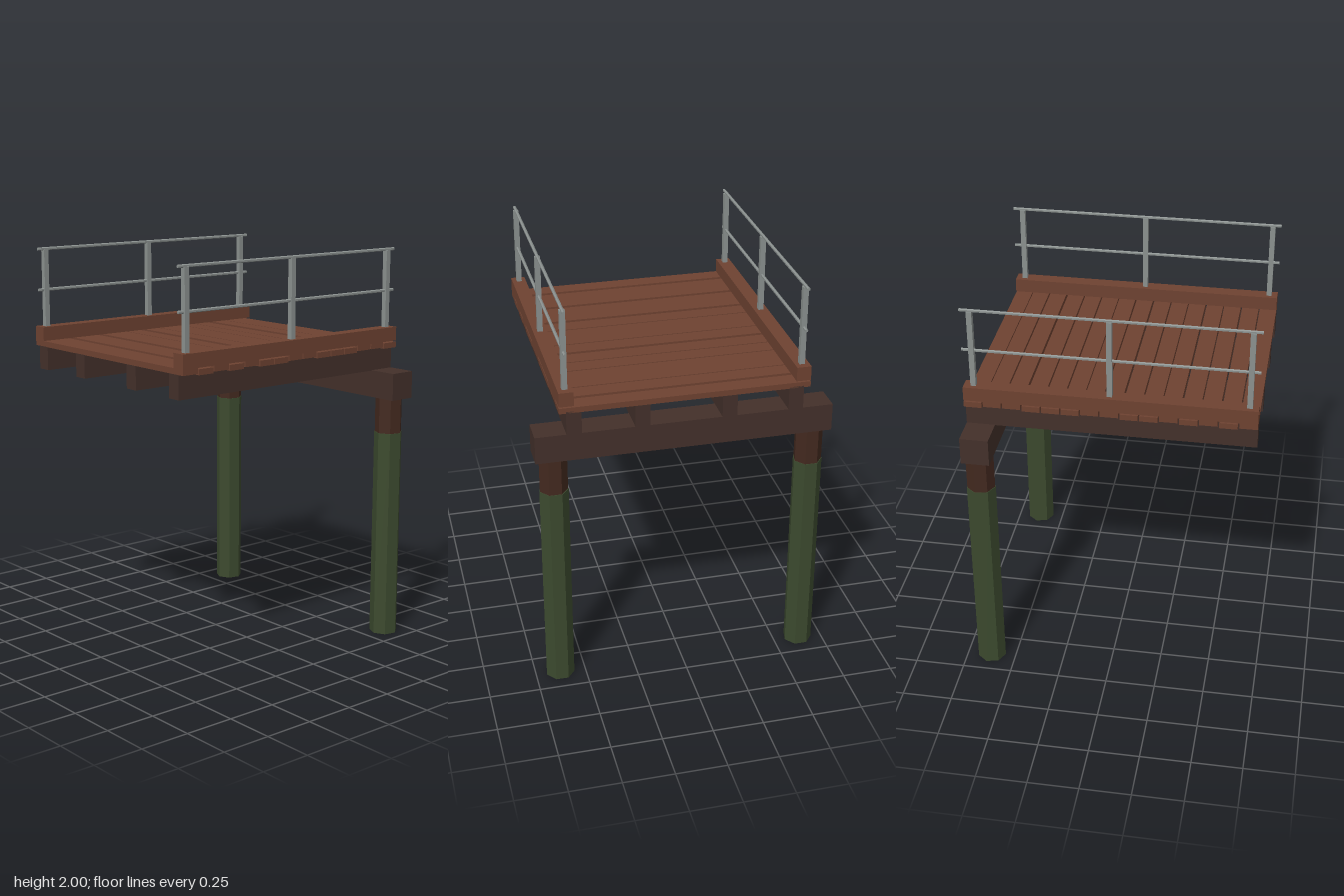
import * as THREE from 'three';

const material = (color) => new THREE.MeshStandardMaterial({ color, flatShading: true });

export function createModel() {
  const model = new THREE.Group();
  model.name = 'pierSection';

  const deckWood = material(0x6e4231);
  const darkWood = material(0x43302a);
  const pileWood = material(0x43291f);
  const algae = material(0x3c4a2e);
  const steel = material(0x8a908e);

  const add = (name, geometry, mat, x, y, z) => {
    const mesh = new THREE.Mesh(geometry, mat);
    mesh.name = name;
    mesh.position.set(x, y, z);
    model.add(mesh);
    return mesh;
  };
  // Box given by its x, y and z extents
  const box = (name, mat, [x0, x1], [y0, y1], [z0, z1]) =>
    add(name, new THREE.BoxGeometry(x1 - x0, y1 - y0, z1 - z0), mat,
      (x0 + x1) / 2, (y0 + y1) / 2, (z0 + z1) / 2);

  const depth = [-0.693, 0.695];

  // Deck planks, some set slightly lower than the others
  const plankCount = 15;
  const pitch = (depth[1] - depth[0] + 0.007) / plankCount;
  const lowPlanks = [1, 3, 5, 6, 9, 10, 11, 14];
  for (let i = 0; i < plankCount; i++) {
    const front = depth[1] - i * pitch;
    const drop = lowPlanks.includes(i) ? 0.007 : 0;
    box('deckPlank', deckWood, [-0.6, 0.6], [1.502 - drop, 1.53 - drop], [front - pitch + 0.007, front]);
  }

  // Stringers under the deck
  for (const x of [-0.532, -0.209, 0.209, 0.532]) {
    box('stringer', darkWood, [x - 0.036, x + 0.036], [1.385, 1.503], depth);
  }

  // Cross beam carried by the two piles
  box('crossBeam', darkWood, [-0.717, 0.717], [1.25, 1.387], [-0.693, -0.555]);

  for (const side of [-1, 1]) {
    // Seven-sided pile with an algae-covered lower part
    add('pileTop', new THREE.CylinderGeometry(0.069, 0.069, 0.2, 7), pileWood, side * 0.627, 1.155, -0.625);
    add('pileLower', new THREE.CylinderGeometry(0.072, 0.072, 1.07, 7), algae, side * 0.627, 0.535, -0.625);

    // Kerb along the deck edge
    const kerb = box('kerb', deckWood, [0.53, 0.6], [1.53, 1.6], depth);
    kerb.position.x *= side;

    // Railing posts and rails
    const railX = side * 0.565;
    for (const z of [-0.647, 0, 0.652]) {
      box('railingPost', steel, [railX - 0.013, railX + 0.013], [1.59, 1.988], [z - 0.013, z + 0.013]);
    }
    for (const y of [1.786, 1.992]) {
      const rail = add('rail', new THREE.CylinderGeometry(0.008, 0.008, 1.39, 6), steel, railX, y, 0);
      rail.rotation.x = Math.PI / 2;
    }
  }
  return model;
}
